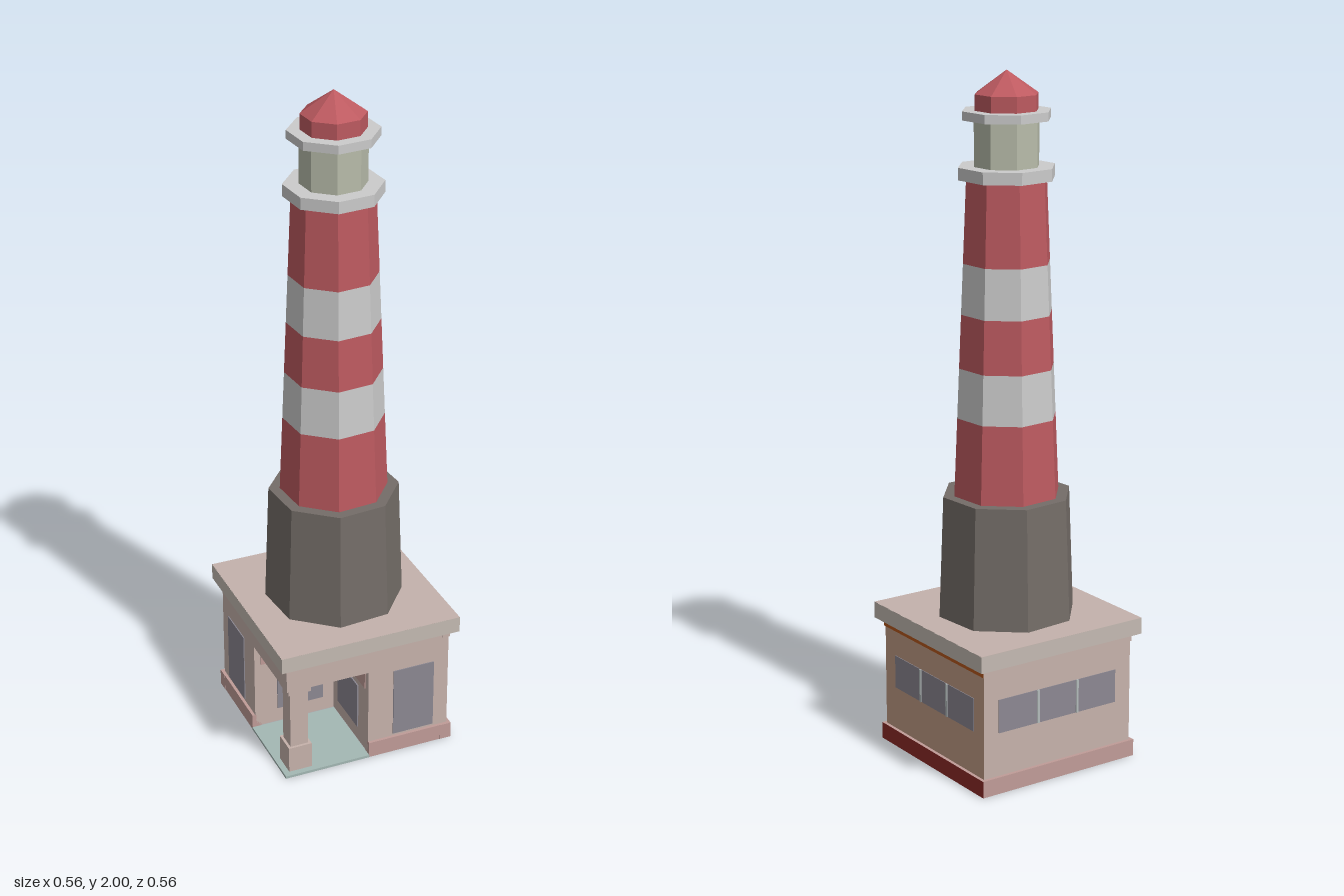
import * as THREE from 'three';

const mat = (color) => new THREE.MeshStandardMaterial({ color, flatShading: true });

export function createModel() {
  const model = new THREE.Group();
  const wall = mat(0xc6b2ab), warmWall = mat(0xc29c86), roofMat = mat(0xc4b2ac), trim = mat(0xc4bab2);
  const orange = mat(0xb5581c), darkRed = mat(0x8c2a28), pinkTrim = mat(0xc09c98);
  const glass = mat(0x8c8892), bar = mat(0xb4bcbc), tile = mat(0xa4b8b4);
  const red = mat(0xbd5a60), white = mat(0xcccccc), stone = mat(0x746d68), lantern = mat(0xb8bcaa);

  // Box given by its bounds; the +x side may have its own material
  const box = (name, [x0, x1], [y0, y1], [z0, z1], m, right = m) => {
    const mesh = new THREE.Mesh(
      new THREE.BoxGeometry(x1 - x0, y1 - y0, z1 - z0),
      right === m ? m : [right, m, m, m, m, m]
    );
    mesh.name = name;
    mesh.position.set((x0 + x1) / 2, (y0 + y1) / 2, (z0 + z1) / 2);
    model.add(mesh);
  };
  // The house is symmetric about its diagonal: (x, z) <-> (-z, -x)
  const pair = (name, x, y, z, m, right) => {
    box(name, x, y, z, m, right);
    box(name, [-z[1], -z[0]], y, [-x[1], -x[0]], m);
  };

  // Outer walls: full right and back sides, half front and left sides
  const W = 0.257, T = 0.02;
  pair('outerWall', [W - T, W], [0.01, 0.385], [-W + T, W], wall, warmWall);
  box('wallCorner', [W - T, W], [0.01, 0.385], [-W, -W + T], wall, warmWall);
  pair('frontWall', [0, W - T], [0.01, 0.385], [W - T, W], wall);
  // Recessed walls around the porch
  pair('porchWall', [-W + T, 0], [0.01, 0.385], [-T, 0], wall);
  pair('porchWallBand', [-W + T, 0], [0.228, 0.29], [0, 0.003], pinkTrim);
  pair('porchWindow', [-0.185, -0.037], [0.058, 0.206], [0, 0.004], glass);

  // Plinth and the band below the roof
  const P = 0.267;
  pair('plinth', [W - T - 0.005, P], [0, 0.05], [-P, P], pinkTrim, darkRed);
  pair('frontPlinth', [0, P - 0.001], [0, 0.05], [W - T, P - 0.001], pinkTrim);
  pair('upperBand', [W - T, W + 0.003], [0.357, 0.383], [-W - 0.003, W + 0.003], wall, orange);

  // Doors
  pair('door', [0.08, 0.21], [0.058, 0.28], [W, W + 0.003], glass);

  // Three-pane windows with bars
  pair('longWindow', [W, W + 0.002], [0.18, 0.28], [-0.207, 0.203], glass);
  for (const z of [-0.072, 0.065]) {
    pair('windowBar', [W, W + 0.005], [0.18, 0.28], [z - 0.004, z + 0.004], bar);
  }

  // Porch floor, lintels, ceiling and corner column
  box('porchFloor', [-P, 0], [0, 0.008], [0, P], tile);
  pair('lintel', [-W, 0], [0.295, 0.385], [W - 0.06, W], wall);
  box('porchCeiling', [-W + 0.01, 0], [0.297, 0.31], [0, W - 0.01], wall);
  const C = 0.213;
  const columnPart = (name, half, y) =>
    box(name, [-C - half, -C + half], y, [C - half, C + half], wall);
  columnPart('columnBase', 0.036, [0.008, 0.09]);
  columnPart('columnShaft', 0.028, [0.09, 0.275]);
  columnPart('columnCapital', 0.035, [0.275, 0.297]);

  // Overhanging flat roof
  box('roof', [-0.28, 0.28], [0.381, 0.43], [-0.28, 0.28], roofMat);
  const edge = 0.0005;
  pair('roofEdge', [0.26, 0.28 + edge], [0.381, 0.4295], [-0.28 - edge, 0.28 + edge], trim);
  pair('roofEdge', [-0.28 - edge, -0.26], [0.381, 0.4295], [-0.28 - edge, 0.28 + edge], trim);

  // Eight-sided tower, all sections turned by the same angle
  const turn = THREE.MathUtils.degToRad(27.5);
  const section = (name, y0, y1, r0, r1, m) => {
    const mesh = new THREE.Mesh(new THREE.CylinderGeometry(r1, r0, y1 - y0, 8, 1, false, turn), m);
    mesh.name = name;
    mesh.position.y = (y0 + y1) / 2;
    model.add(mesh);
  };
  section('towerBase', 0.43, 0.79, 0.204, 0.19, stone);

  // Striped tapering shaft
  const levels = [0.79, 1.02, 1.165, 1.32, 1.465, 1.7];
  const radius = (y) => THREE.MathUtils.mapLinear(y, 0.79, 1.7, 0.157, 0.118);
  for (let i = 0; i < 5; i++) {
    const [a, b] = [levels[i], levels[i + 1]];
    section('towerStripe', a, b, radius(a), radius(b), i % 2 ? white : red);
  }

  // Gallery, lantern room and cap
  section('gallery', 1.7, 1.735, 0.141, 0.141, white);
  section('lanternRoom', 1.735, 1.865, 0.095, 0.095, lantern);
  section('upperRing', 1.865, 1.89, 0.129, 0.129, white);
  section('capDrum', 1.89, 1.935, 0.092, 0.092, red);
  section('capRoof', 1.935, 2.0, 0.092, 0, red);

  return model;
}
